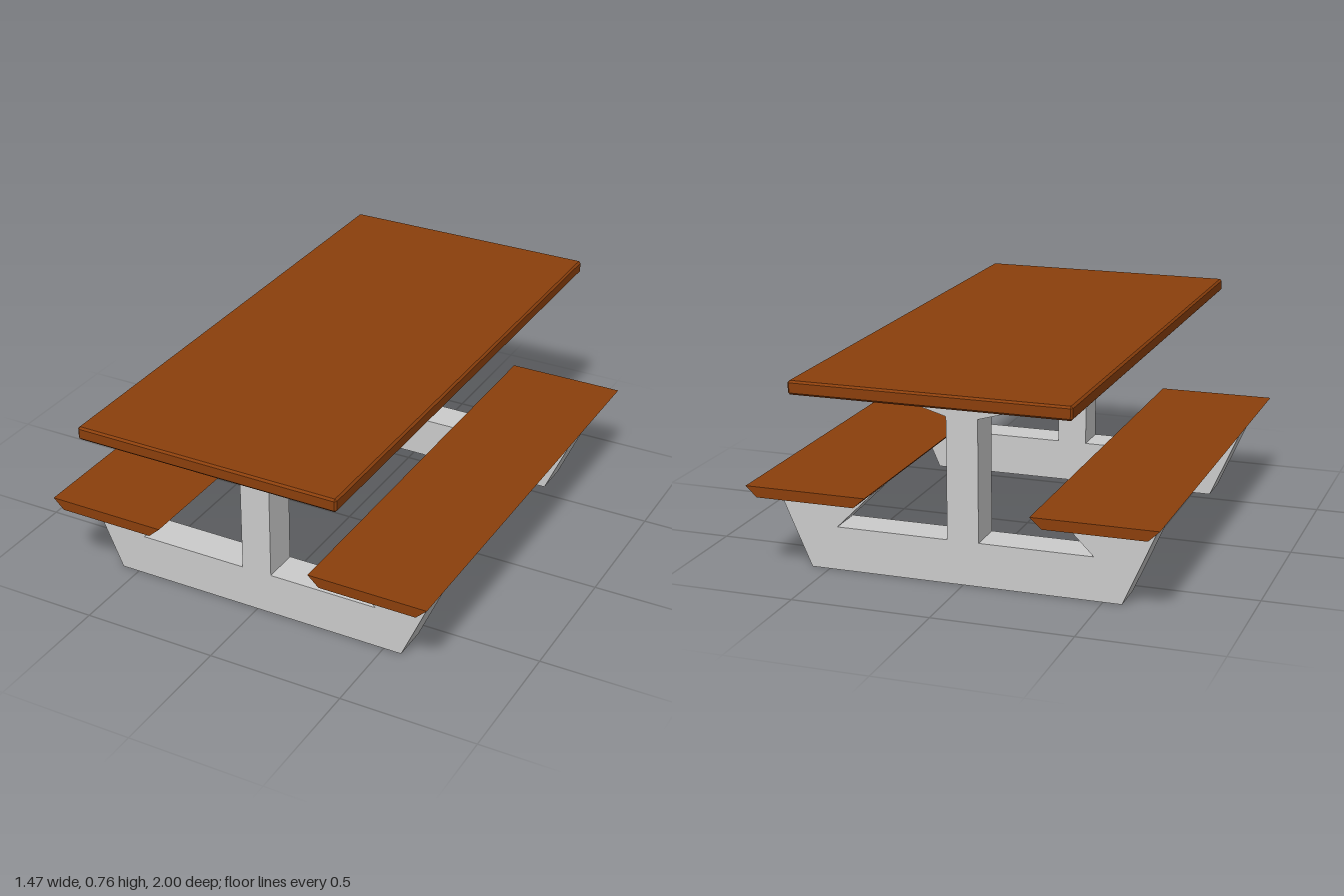
import * as THREE from 'three';
import { ConvexGeometry } from 'three/addons/geometries/ConvexGeometry.js';

const wood = new THREE.MeshStandardMaterial({ color: 0x8b3f0c });
const grey = new THREE.MeshStandardMaterial({ color: 0xcccccc });

// Extrude an x-y outline along z, centred on zMid
function prism(name, points, depth, zMid, material) {
  const shape = new THREE.Shape(points.map(([x, y]) => new THREE.Vector2(x, y)));
  const geometry = new THREE.ExtrudeGeometry(shape, { depth, bevelEnabled: false });
  geometry.translate(0, 0, zMid - depth / 2);
  const mesh = new THREE.Mesh(geometry, material);
  mesh.name = name;
  return mesh;
}

// Box with every edge chamfered by c
function chamferedBox(w, h, d, c) {
  const points = [];
  for (const sx of [-1, 1]) for (const sy of [-1, 1]) for (const sz of [-1, 1]) {
    for (let axis = 0; axis < 3; axis++) {
      const inset = [c, c, c];
      inset[axis] = 0;
      points.push(new THREE.Vector3(
        sx * (w / 2 - inset[0]), sy * (h / 2 - inset[1]), sz * (d / 2 - inset[2])));
    }
  }
  return new ConvexGeometry(points);
}

export function createModel() {
  const group = new THREE.Group();
  group.name = 'picnicTable';

  // Table top
  const top = new THREE.Mesh(chamferedBox(0.976, 0.048, 2, 0.007), wood);
  top.position.y = 0.741;
  top.name = 'tableTop';
  group.add(top);

  // Right half of the support outline, from the foot up to the top bracket
  const half = [
    [0.567, 0], [0.637, 0.158], [0.695, 0.292], [0.333, 0.292],
    [0.467, 0.158], [0.057, 0.158], [0.057, 0.597], [0.48, 0.718],
  ];
  const outline = [...half, ...half.map(([x, y]) => [-x, y]).reverse()];
  group.add(prism('frontSupport', outline, 0.135, 0.617, grey));
  group.add(prism('backSupport', outline, 0.135, -0.617, grey));

  // Bench seats with undercut long edges
  const seat = [[0.335, 0.292], [0.695, 0.292], [0.735, 0.33], [0.293, 0.33]];
  group.add(prism('leftSeat', seat, 1.684, 0, wood));
  group.add(prism('rightSeat', seat.map(([x, y]) => [-x, y]).reverse(), 1.684, 0, wood));

  return group;
}
